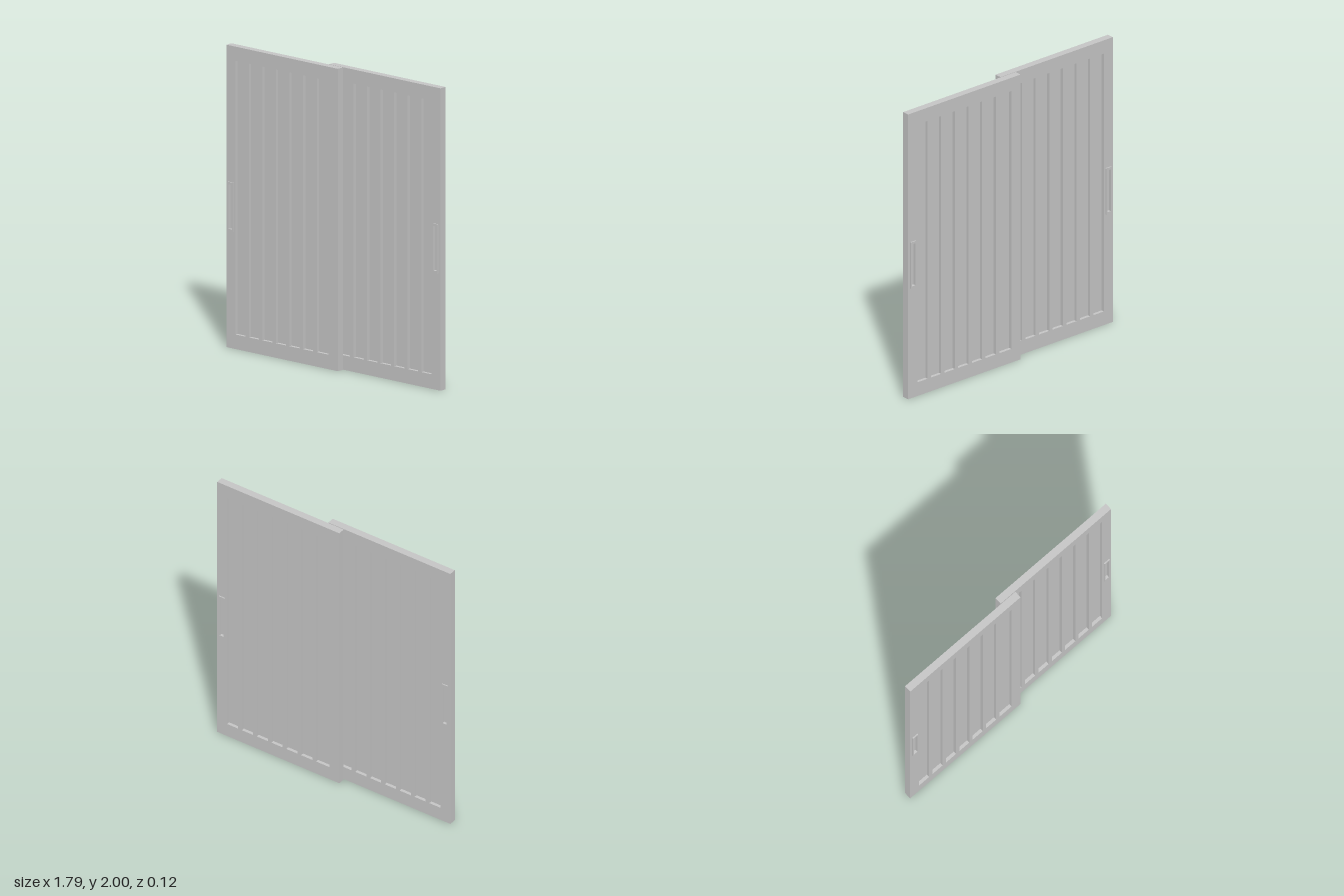
import * as THREE from 'three';

const grey = new THREE.MeshStandardMaterial({ color: 0xc4c4c4 });
grey.name = 'lightGrey';

const THICK = 0.05;
const GAP = 0.002;
const BOTTOM = 0.096, TOP = 1.907;
// x ranges of the tall recesses in one door
const slots = [];
for (let i = 0; i < 6; i++) slots.push([-0.819 + i * 0.1163, -0.731 + i * 0.1163]);
slots.push([-0.119, -0.016]);
const grip = { x0: -0.879, x1: -0.833, y0: 0.772, y1: 1.098 };

function rect(Type, x0, y0, x1, y1) {
  const r = new Type();
  r.moveTo(x0, y0);
  r.lineTo(x1, y0);
  r.lineTo(x1, y1);
  r.lineTo(x0, y1);
  r.closePath();
  return r;
}

function add(group, name, geometry, x = 0, y = 0, z = 0) {
  const mesh = new THREE.Mesh(geometry, grey);
  mesh.name = name;
  mesh.position.set(x, y, z);
  group.add(mesh);
}

function createDoor(name) {
  const door = new THREE.Group();
  door.name = name;

  // Frame and upright slats, pierced for the recesses and the handle
  const outline = rect(THREE.Shape, -0.896, 0, 0.062, 2);
  for (const [a, b] of slots) outline.holes.push(rect(THREE.Path, a, BOTTOM, b, TOP));
  outline.holes.push(rect(THREE.Path, grip.x0 + 0.004, grip.y0 + 0.004, grip.x1 - 0.004, grip.y1 - 0.004));
  add(door, 'doorFrame', new THREE.ExtrudeGeometry(outline, { depth: THICK, bevelEnabled: false }), 0, 0, GAP);

  // Recessed panels
  const mid = GAP + THICK / 2;
  for (const [a, b] of slots) {
    add(door, 'recessedPanel', new THREE.BoxGeometry(b - a, TOP - BOTTOM, 0.006),
      (a + b) / 2, (TOP + BOTTOM) / 2, mid);
  }

  // Handle rim standing proud on both faces, with a sunken pull
  const rim = rect(THREE.Shape, grip.x0, grip.y0, grip.x1, grip.y1);
  rim.holes.push(rect(THREE.Path, grip.x0 + 0.008, grip.y0 + 0.016, grip.x1 - 0.008, grip.y1 - 0.016));
  const depth = THICK + 0.016;
  add(door, 'handleRim', new THREE.ExtrudeGeometry(rim, { depth, bevelEnabled: false }), 0, 0, mid - depth / 2);
  add(door, 'handlePull', new THREE.BoxGeometry(grip.x1 - grip.x0 - 0.016, grip.y1 - grip.y0 - 0.032, 0.028),
    (grip.x0 + grip.x1) / 2, (grip.y0 + grip.y1) / 2, mid);
  return door;
}

export function createModel() {
  const model = new THREE.Group();
  model.name = 'slidingDoors';
  const front = createDoor('frontDoor');
  // The rear door is the same door turned around
  const rear = createDoor('rearDoor');
  rear.rotation.y = Math.PI;
  model.add(front, rear);
  return model;
}
